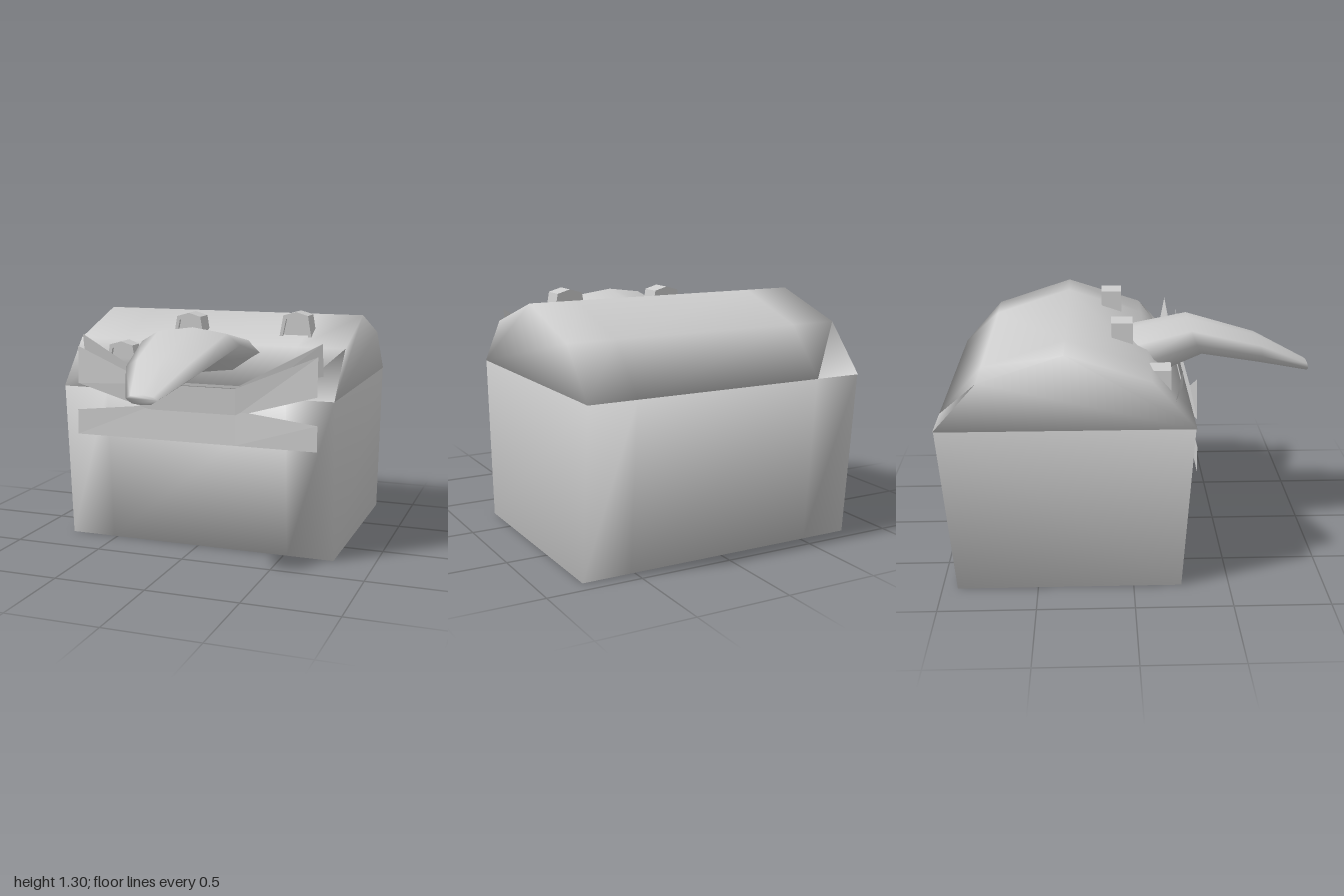
import * as THREE from 'three';

const grey = new THREE.MeshStandardMaterial({ color: 0xcccccc, side: THREE.DoubleSide });
grey.name = 'plainGrey';

// Skins equal-length rings of [x, y, z] and caps both ends, with shared smooth normals
function loft(rings) {
  const n = rings[0].length, last = (rings.length - 1) * n, index = [];
  for (let i = 0; i < rings.length - 1; i++) {
    for (let j = 0; j < n; j++) {
      const a = i * n + j, b = i * n + (j + 1) % n;
      index.push(a, b, a + n, b, b + n, a + n);
    }
  }
  for (let j = 1; j < n - 1; j++) {
    index.push(0, j + 1, j, last, last + j, last + j + 1);
  }
  const g = new THREE.BufferGeometry();
  g.setAttribute('position', new THREE.Float32BufferAttribute(rings.flat(2), 3));
  g.setIndex(index);
  g.computeVertexNormals();
  return g;
}

// Side profile of [z, y] carried across the width of the chest
const across = (profile) =>
  loft([-0.78, -0.52, 0.52, 0.78].map((x) => profile.map(([z, y]) => [x, y, z])));

// Thin bent strip, mirrored in x; each column is [x, topY, topZ, bottomY, bottomZ]
function strip(half) {
  const columns = [...half.map(([x, ...r]) => [-x, ...r]), ...half.slice().reverse()];
  const pos = [], index = [];
  columns.forEach(([x, ty, tz, by, bz], i) => {
    pos.push(x, ty, tz, x, by, bz);
    if (i) {
      const k = 2 * i;
      index.push(k - 2, k - 1, k, k - 1, k + 1, k);
    }
  });
  const g = new THREE.BufferGeometry();
  g.setAttribute('position', new THREE.Float32BufferAttribute(pos, 3));
  g.setIndex(index);
  const flat = g.toNonIndexed();
  flat.computeVertexNormals();
  return flat;
}

const outline = (points) => points.map(([x, y]) => new THREE.Vector2(x, y));

export function createModel() {
  const model = new THREE.Group();
  model.name = 'chestCreature';
  const add = (name, geometry, parent = model) => {
    const mesh = new THREE.Mesh(geometry, grey);
    mesh.name = name;
    parent.add(mesh);
    return mesh;
  };

  // Chest body and faceted lid
  add('chestBase', across([[0.25, 0], [-0.92, 0], [-0.99, 0.88], [0.31, 0.88]]));
  add('chestLid', across([[0.315, 0.88], [-0.995, 0.88], [-0.77, 1.13], [-0.34, 1.27], [0.09, 1.13]]));

  // Tongue: rings of [topZ, bottomZ, halfWidth, topY, bottomY]
  const section = [[1, 0.55], [0.7, 0.85], [0, 1], [-0.7, 0.85], [-1, 0.55], [-0.6, 0.1], [0, 0], [0.6, 0.1]];
  const tongueRings = [
    [-0.08, 0.12, 0.33, 1.16, 0.94],
    [0.32, 0.4, 0.28, 1.24, 1.06],
    [0.72, 0.72, 0.21, 1.13, 1.0],
    [1, 1, 0.085, 0.985, 0.935],
  ].map(([tz, bz, w, ty, by]) =>
    section.map(([u, v]) => [u * w, by + (ty - by) * v, bz + (tz - bz) * v]));
  add('tongue', loft(tongueRings));

  // Mouth strips
  add('upperTeeth', strip([[0.695, 1.17, 0.245, 0.98, 0.21], [0.25, 0.93, 0.285, 0.82, 0.27]]));
  add('upperLip', strip([[0.69, 1.11, 0.315, 0.9, 0.32], [0.24, 0.92, 0.325, 0.77, 0.315]]));
  add('lowerLip', strip([[0.695, 0.75, 0.325, 0.61, 0.327], [0.24, 0.8, 0.314, 0.61, 0.325]]));

  // Eyes: arched eyelid around a recessed eye; [x, topY, frontZ]
  const outer = [[-0.1, -0.19], [0.1, -0.19], [0.07, -0.02], [0, 0], [-0.07, -0.02]];
  const inner = [[-0.082, -0.18], [0.082, -0.18], [0.054, -0.04], [0, -0.025], [-0.054, -0.04]];
  for (const [x, y, z] of [[0.47, 1.305, -0.03], [-0.143, 1.285, 0.015], [-0.48, 1.13, 0.2]]) {
    const eye = new THREE.Group();
    eye.name = 'eye';
    eye.position.set(x, y, z - 0.115);
    const lidShape = new THREE.Shape(outline(outer));
    lidShape.holes.push(new THREE.Path(outline(inner)));
    add('eyelid', new THREE.ExtrudeGeometry(lidShape, { depth: 0.115, bevelEnabled: false }), eye);
    add('eyeball', new THREE.ExtrudeGeometry(new THREE.Shape(outline(inner)), { depth: 0.095, bevelEnabled: false }), eye);
    model.add(eye);
  }
  return model;
}
